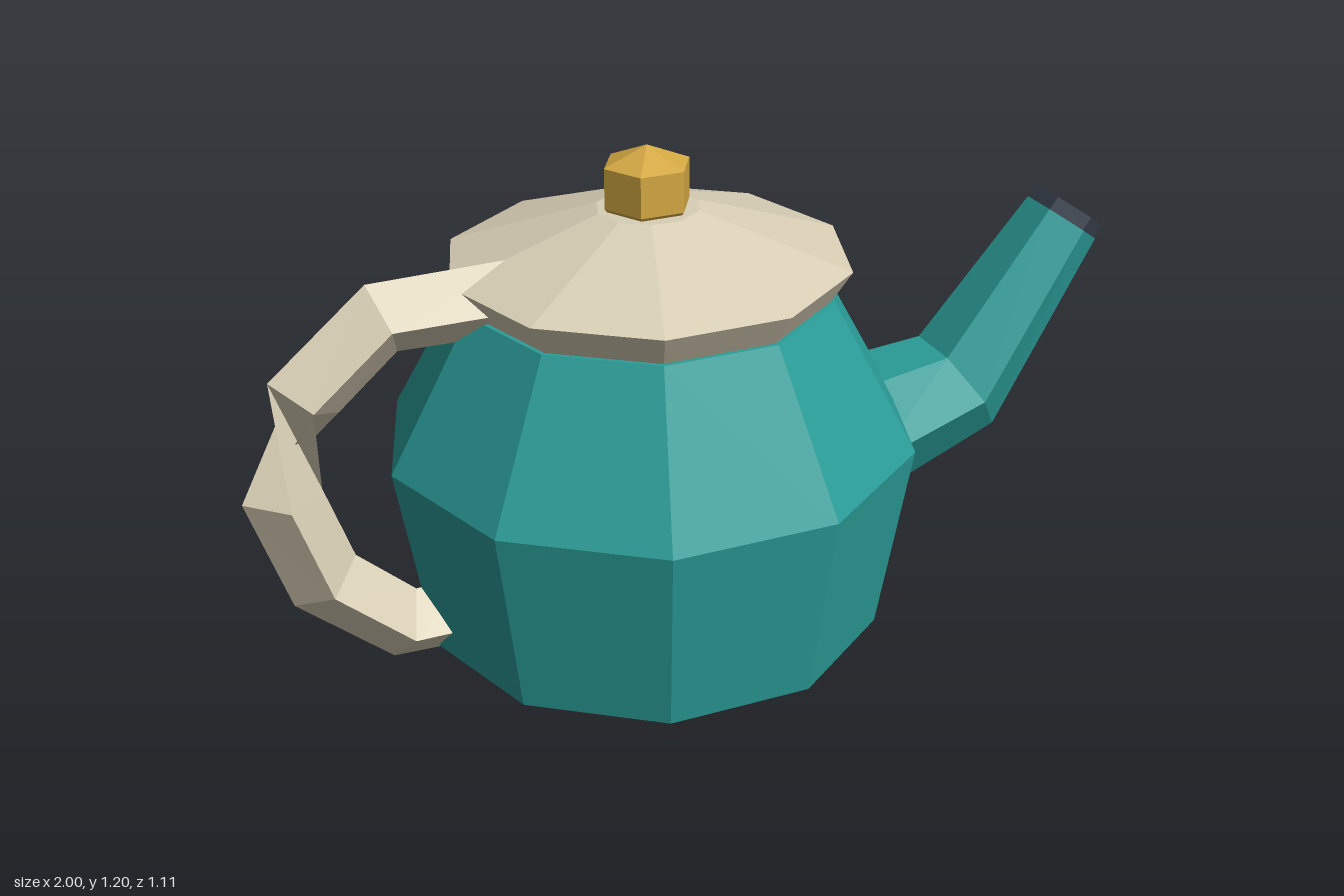
import * as THREE from 'three';

const paint = (name, color) => {
  const m = new THREE.MeshStandardMaterial({ color, flatShading: true });
  m.name = name;
  return m;
};

// Faceted solid of revolution with a corner on the +x side
function turned(name, profile, sides, material) {
  const points = profile.map(([r, y]) => new THREE.Vector2(r, y));
  const mesh = new THREE.Mesh(new THREE.LatheGeometry(points, sides, Math.PI / 2), material);
  mesh.name = name;
  mesh.position.x = -0.105;
  return mesh;
}

// Capped bent bar along stations [x, y, radius, twist] in the x-y plane
function bentBar(name, stations, sides, material) {
  const centers = stations.map(([x, y]) => new THREE.Vector2(x, y));
  const positions = [];
  const index = [];
  const last = stations.length - 1;
  stations.forEach(([x, y, radius, twist = 0], i) => {
    // Tangent is the mean direction of the two neighbouring segments
    const t = new THREE.Vector2();
    if (i > 0) t.add(centers[i].clone().sub(centers[i - 1]).normalize());
    if (i < last) t.add(centers[i + 1].clone().sub(centers[i]).normalize());
    t.normalize();
    for (let k = 0; k < sides; k++) {
      const a = (k / sides) * Math.PI * 2 + twist;
      const n = radius * Math.sin(a);
      positions.push(x - t.y * n, y + t.x * n, radius * Math.cos(a));
    }
  });
  for (let i = 0; i < last; i++) {
    for (let k = 0; k < sides; k++) {
      const next = (k + 1) % sides;
      const a = i * sides + k, b = i * sides + next;
      index.push(a, a + sides, b + sides, a, b + sides, b);
    }
  }
  const end = last * sides;
  for (let k = 1; k < sides - 1; k++) {
    index.push(0, k, k + 1, end, end + k + 1, end + k);
  }
  const geometry = new THREE.BufferGeometry();
  geometry.setAttribute('position', new THREE.Float32BufferAttribute(positions, 3));
  geometry.setIndex(index);
  geometry.computeVertexNormals();
  const mesh = new THREE.Mesh(geometry, material);
  mesh.name = name;
  return mesh;
}

export function createModel() {
  const teal = paint('teal glaze', 0x2a9d98);
  const cream = paint('cream glaze', 0xd9cfb6);
  const gold = paint('gold', 0xd4a843);
  const slate = paint('dark slate', 0x3a4350);

  const group = new THREE.Group();
  group.name = 'teapot';

  // Pot and lid
  group.add(turned('body', [[0, 0], [0.29, 0], [0.51, 0.12], [0.582, 0.55], [0.4, 0.88], [0, 0.88]], 10, teal));
  group.add(turned('lid', [[0, 0.875], [0.387, 0.875], [0.435, 0.95], [0.11, 1.06], [0, 1.06]], 10, cream));
  group.add(turned('lidKnob', [[0, 1.055], [0.085, 1.055], [0.095, 1.067], [0.095, 1.155], [0, 1.195]], 6, gold));

  // Spout with its dark tip
  group.add(bentBar('spout', [[0.375, 0.44, 0.165], [0.665, 0.515, 0.133], [0.921, 0.878, 0.092]], 6, teal));
  group.add(bentBar('spoutTip', [[0.917, 0.873, 0.089], [0.94, 0.906, 0.089]], 6, slate));

  // Diamond-section handle, making a quarter turn below its upper bend
  const quarter = Math.PI / 2;
  group.add(bentBar('handle', [
    [-0.4, 0.908, 0.083],
    [-0.685, 0.908, 0.083],
    [-0.855, 0.763, 0.083],
    [-0.917, 0.55, 0.083, quarter],
    [-0.845, 0.335, 0.083, quarter],
    [-0.68, 0.19, 0.083, quarter],
    [-0.54, 0.19, 0.083, quarter],
  ], 4, cream));

  return group;
}
